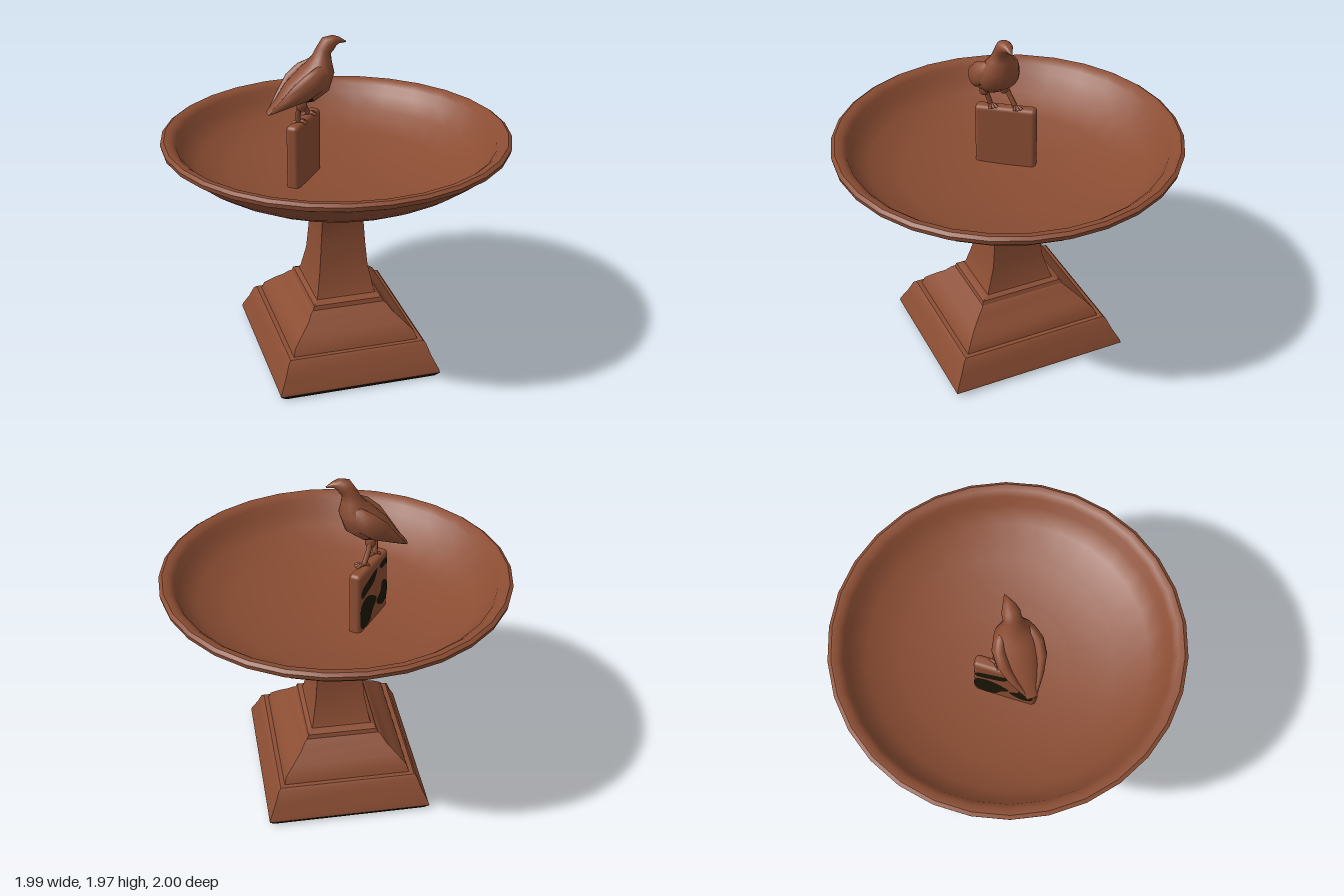
import * as THREE from 'three';
import { toCreasedNormals } from 'three/addons/utils/BufferGeometryUtils.js';
import { RoundedBoxGeometry } from 'three/addons/geometries/RoundedBoxGeometry.js';

const terracotta = new THREE.MeshStandardMaterial({ color: 0x8b4d33 });
terracotta.name = 'terracotta';
const soot = new THREE.MeshStandardMaterial({ color: 0x1c1608 });
soot.name = 'soot';

function add(parent, name, geometry, material = terracotta) {
  const mesh = new THREE.Mesh(geometry, material);
  mesh.name = name;
  parent.add(mesh);
  return mesh;
}

// Skin through rings of points; isDark(row, column) picks faces for the second material
function loft(rings, crease, isDark = () => false) {
  const light = [], dark = [], n = rings[0].length;
  const tri = (list, ...pts) => pts.forEach((p) => list.push(p.x, p.y, p.z));
  for (let i = 0; i < rings.length - 1; i++) {
    for (let j = 0; j < n; j++) {
      const k = (j + 1) % n, list = isDark(i, j) ? dark : light;
      const [a, b, c, d] = [rings[i][j], rings[i][k], rings[i + 1][k], rings[i + 1][j]];
      tri(list, a, d, b);
      tri(list, b, d, c);
    }
  }
  const first = rings[0], last = rings[rings.length - 1];
  for (let j = 1; j < n - 1; j++) {
    tri(light, first[0], first[j], first[j + 1]);
    tri(light, last[0], last[j + 1], last[j]);
  }
  const g = new THREE.BufferGeometry();
  g.setAttribute('position', new THREE.Float32BufferAttribute(light.concat(dark), 3));
  g.addGroup(0, light.length / 3, 0);
  if (dark.length) g.addGroup(light.length / 3, dark.length / 3, 1);
  return toCreasedNormals(g, crease);
}

// Stack of rectangles: [y, half width, half depth]
function rectStack(rows) {
  return loft(rows.map(([y, w, d]) => [[1, 1], [-1, 1], [-1, -1], [1, -1]]
    .map(([sx, sz]) => new THREE.Vector3(sx * w, y, sz * d))), 0.5);
}

// Ellipses along a side-on path: [x, y, z, in-plane radius, half width]
function ellipsePath(rows, sides, isDark) {
  const rings = rows.map(([x, y, z, r, w], i) => {
    const p = rows[Math.max(i - 1, 0)], q = rows[Math.min(i + 1, rows.length - 1)];
    const t = new THREE.Vector2(q[0] - p[0], q[1] - p[1]).normalize();
    return Array.from({ length: sides }, (_, j) => {
      const a = (j / sides) * Math.PI * 2, c = Math.cos(a) * r;
      return new THREE.Vector3(x + t.y * c, y - t.x * c, z + Math.sin(a) * w);
    });
  });
  return loft(rings, 1.2, isDark);
}

function tube(points, radius) {
  const curve = new THREE.CatmullRomCurve3(points.map((p) => new THREE.Vector3(...p)));
  return new THREE.TubeGeometry(curve, 8, radius, 8);
}

function createPedestal() {
  const g = new THREE.Group();
  g.name = 'pedestal';
  add(g, 'baseUnderside', rectStack([[0, 0.45, 0.53], [0.025, 0.48, 0.545]]), soot);
  add(g, 'plinth', rectStack([
    [0.025, 0.48, 0.545], [0.045, 0.475, 0.54], [0.12, 0.44, 0.5], [0.19, 0.415, 0.47], [0.205, 0.4, 0.455],
  ]));
  add(g, 'steppedFoot', rectStack([
    [0.2, 0.375, 0.43], [0.25, 0.36, 0.41], [0.3, 0.31, 0.365], [0.35, 0.255, 0.31],
    [0.385, 0.23, 0.275], [0.395, 0.215, 0.262], [0.42, 0.205, 0.255], [0.435, 0.18, 0.215],
  ]));
  add(g, 'column', rectStack([
    [0.42, 0.185, 0.22], [0.45, 0.172, 0.205], [0.6, 0.145, 0.16], [0.75, 0.133, 0.145],
    [0.9, 0.123, 0.138], [0.94, 0.137, 0.148], [0.98, 0.17, 0.18], [1.005, 0.185, 0.2],
    [1.02, 0.215, 0.22], [1.06, 0.24, 0.24],
  ]));
  return g;
}

function createBasin() {
  const profile = [
    [0, 1.03], [0.2, 1.035], [0.4, 1.07], [0.56, 1.11], [0.7, 1.155], [0.8, 1.21], [0.88, 1.265],
    [0.94, 1.315], [0.975, 1.345], [0.995, 1.355], [1, 1.38], [0.98, 1.394], [0.945, 1.39],
    [0.915, 1.365], [0.89, 1.31], [0.8, 1.235], [0.62, 1.16], [0.35, 1.11], [0, 1.09],
  ].map(([r, y]) => new THREE.Vector2(r, y));
  return toCreasedNormals(new THREE.LatheGeometry(profile, 30), 0.7);
}

function createPerch() {
  const g = new THREE.Group();
  g.name = 'perch';
  g.position.set(-0.175, 1.275, -0.07);
  g.rotation.y = 0.93;
  add(g, 'perchBlock', new RoundedBoxGeometry(0.36, 0.4, 0.075, 3, 0.025));
  // Stains on the back face
  const stains = [
    [[-0.16, 0.1], [-0.08, 0.13], [0.03, 0.15], [0.0, 0.09], [-0.08, 0.06], [-0.16, 0.05]],
    [[-0.16, -0.15], [-0.165, 0], [-0.1, 0.03], [-0.02, 0], [0.03, -0.05], [-0.02, -0.1], [-0.06, -0.16]],
    [[0.16, 0], [0.1, 0.03], [0.08, -0.03], [0.03, -0.07], [0.1, -0.13], [0.155, -0.11]],
    [[0.06, 0.15], [0.14, 0.165], [0.155, 0.13], [0.09, 0.12]],
  ];
  stains.forEach((points) => {
    const shape = new THREE.Shape();
    const curve = new THREE.CatmullRomCurve3(points.map(([u, v]) => new THREE.Vector3(u, v, 0)), true);
    shape.setFromPoints(curve.getPoints(24).slice(0, -1).map((p) => new THREE.Vector2(p.x, p.y)));
    const stain = add(g, 'stain', new THREE.ShapeGeometry(shape), soot);
    stain.position.z = -0.0395;
    stain.rotation.y = Math.PI;
  });
  return g;
}

function createBird() {
  const g = new THREE.Group();
  g.name = 'bird';
  // Tail to beak in one skin, sooty under the tail
  const body = ellipsePath([
    [-0.4, 1.542, 0, 0.008, 0.03], [-0.33, 1.598, 0, 0.028, 0.055], [-0.26, 1.648, 0, 0.065, 0.09],
    [-0.185, 1.68, 0, 0.093, 0.118], [-0.125, 1.725, 0, 0.1, 0.125], [-0.095, 1.785, 0, 0.083, 0.105],
    [-0.085, 1.84, 0, 0.056, 0.066], [-0.073, 1.885, 0, 0.043, 0.05], [-0.048, 1.918, 0, 0.047, 0.05],
    [-0.012, 1.935, 0, 0.031, 0.036], [0.015, 1.934, 0, 0.018, 0.02], [0.055, 1.922, 0, 0.003, 0.003],
  ], 20, (i, j) => i >= 1 && i <= 2 && (j <= 4 || j >= 15));
  add(g, 'body', body, [terracotta, soot]);
  [1, -1].forEach((s) => {
    add(g, 'wing', ellipsePath([
      [-0.385, 1.55, s * 0.025, 0.008, 0.012], [-0.31, 1.615, s * 0.07, 0.032, 0.025],
      [-0.23, 1.68, s * 0.102, 0.062, 0.035], [-0.155, 1.735, s * 0.105, 0.068, 0.036],
      [-0.105, 1.785, s * 0.085, 0.045, 0.028], [-0.085, 1.815, s * 0.065, 0.01, 0.01],
    ], 14));
  });
  // Legs and feet gripping the perch: hip and foot positions
  [[[-0.215, 1.63, 0.05], [-0.225, 0.005]], [[-0.185, 1.63, -0.06], [-0.14, -0.11]]].forEach(([hip, [fx, fz]]) => {
    const foot = [fx, 1.482, fz];
    const mid = hip.map((v, i) => (v + foot[i]) / 2 - (i === 0 ? 0.008 : 0));
    add(g, 'leg', tube([hip, mid, foot], 0.015));
    const thigh = add(g, 'thigh', new THREE.SphereGeometry(1, 12, 8));
    thigh.scale.set(0.032, 0.045, 0.03);
    thigh.position.set(hip[0], hip[1] - 0.03, hip[2]);
    [-0.5, 0, 0.5, Math.PI].forEach((a) => {
      const len = a > 3 ? 0.03 : 0.05;
      add(g, 'toe', tube([foot, [fx + Math.cos(a) * len * 0.5, 1.483, fz + Math.sin(a) * len * 0.5],
        [fx + Math.cos(a) * len, 1.472, fz + Math.sin(a) * len]], 0.009));
    });
  });
  return g;
}

export function createModel() {
  const model = new THREE.Group();
  model.name = 'birdBath';
  model.add(createPedestal());
  add(model, 'basin', createBasin());
  model.add(createPerch());
  model.add(createBird());
  return model;
}
